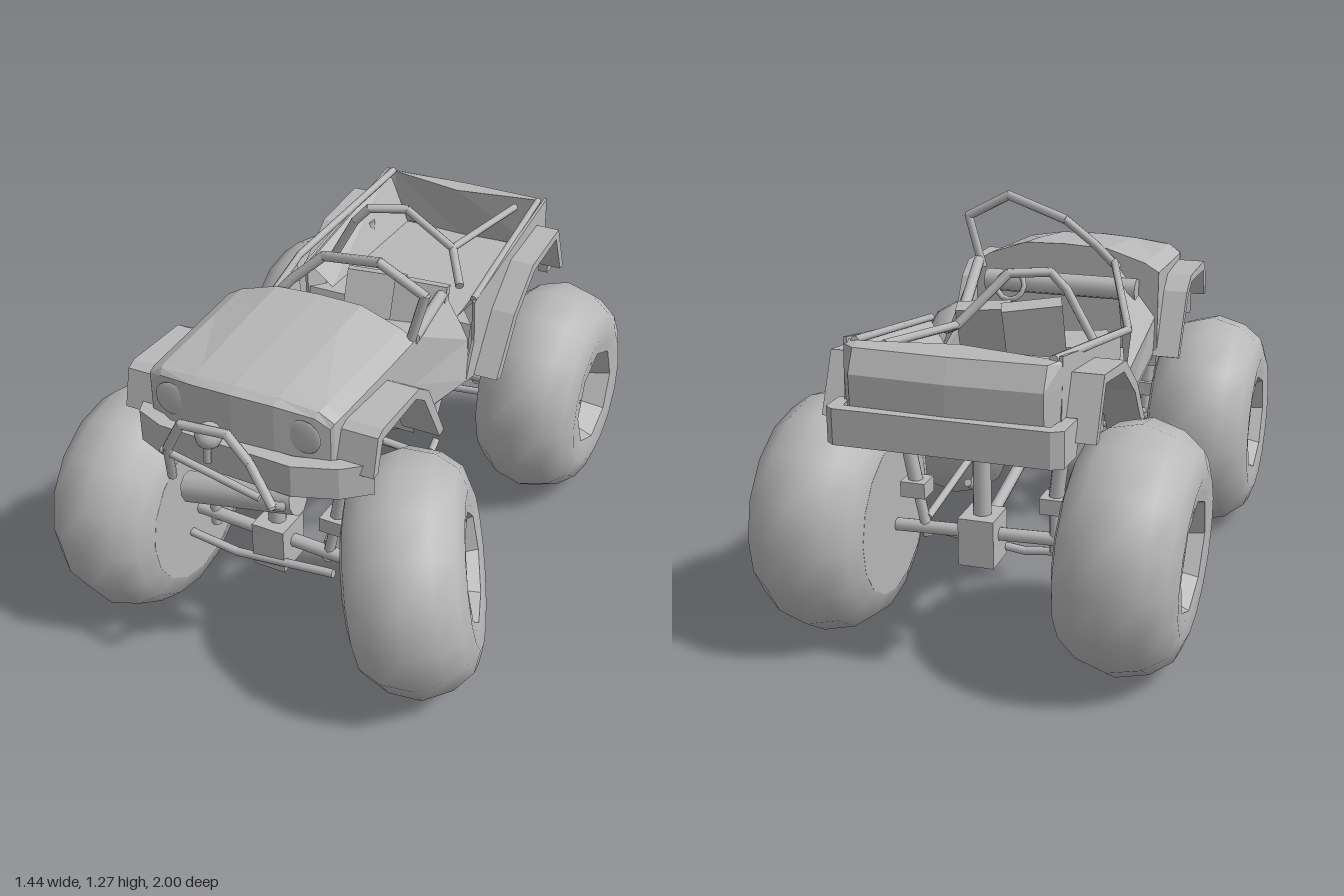
import * as THREE from 'three';

export function createModel() {
  const model = new THREE.Group();
  const grey = new THREE.MeshStandardMaterial({ color: 0xb8b8b8, side: THREE.DoubleSide });
  const V = (p) => new THREE.Vector3(...p);
  const V2 = (p) => new THREE.Vector2(...p);

  function add(name, geo, pos = [0, 0, 0], rot = [0, 0, 0], parent = model) {
    const mesh = new THREE.Mesh(geo, grey);
    mesh.name = name;
    mesh.position.set(...pos);
    mesh.rotation.set(...rot);
    parent.add(mesh);
    return mesh;
  }
  const box = (name, size, pos, rot) => add(name, new THREE.BoxGeometry(...size), pos, rot);

  // Bent bar made of straight pieces
  function rod(name, pts, r, sides = 8) {
    const group = new THREE.Group();
    group.name = name;
    for (let i = 0; i < pts.length - 1; i++) {
      const a = V(pts[i]), d = V(pts[i + 1]).sub(a);
      const geo = new THREE.CylinderGeometry(r, r, d.length() + (pts.length > 2 ? r * 0.6 : 0), sides);
      const m = add(name + 'Piece', geo, a.clone().addScaledVector(d, 0.5).toArray(), [0, 0, 0], group);
      m.quaternion.setFromUnitVectors(new THREE.Vector3(0, 1, 0), d.normalize());
    }
    model.add(group);
  }

  // Faceted skin through rows of equal length
  function skin(name, rows) {
    const pos = [];
    for (let i = 0; i < rows.length - 1; i++) {
      for (let j = 0; j < rows[i].length - 1; j++) {
        const [a, b, c, d] = [rows[i][j], rows[i][j + 1], rows[i + 1][j + 1], rows[i + 1][j]];
        pos.push(...a, ...b, ...c, ...a, ...c, ...d);
      }
    }
    const geo = new THREE.BufferGeometry();
    geo.setAttribute('position', new THREE.Float32BufferAttribute(pos, 3));
    geo.computeVertexNormals();
    add(name, geo);
  }

  // Side outline in (z, y), given thickness from x0 to x1
  function sideShape(name, pts, x0, x1) {
    const geo = new THREE.ExtrudeGeometry(new THREE.Shape(pts.map(V2)), { depth: x1 - x0, bevelEnabled: false });
    geo.rotateY(-Math.PI / 2);
    add(name, geo, [x1, 0, 0]);
  }

  // Plan outline in (x, z), given height from y0 to y1
  function planShape(name, pts, y0, y1) {
    const shape = new THREE.Shape(pts.map(([x, z]) => new THREE.Vector2(x, -z)));
    const geo = new THREE.ExtrudeGeometry(shape, { depth: y1 - y0, bevelEnabled: false });
    geo.rotateX(-Math.PI / 2);
    add(name, geo, [0, y0, 0]);
  }

  // Tyres with a flat inner face and a deep eight-sided hub
  const tyreGeo = new THREE.LatheGeometry([[0.25, -0.185], [0.315, -0.165], [0.365, -0.1], [0.392, 0],
    [0.365, 0.1], [0.315, 0.165], [0.25, 0.188], [0.19, 0.18]].map(V2), 16);
  const innerGeo = new THREE.CylinderGeometry(0.252, 0.252, 0.02, 16);
  const hubGeo = new THREE.LatheGeometry([[0.206, 0.181], [0.178, 0.179], [0.1, -0.01], [0, -0.01]].map(V2), 8).toNonIndexed();
  hubGeo.computeVertexNormals();
  function wheel(name, center, outward) {
    const g = new THREE.Group();
    g.name = name;
    g.position.set(...center);
    g.quaternion.setFromUnitVectors(new THREE.Vector3(0, 1, 0), V(outward).normalize());
    add('tyre', tyreGeo, [0, 0, 0], [0, 0, 0], g);
    add('innerFace', innerGeo, [0, -0.175, 0], [0, 0, 0], g);
    add('hub', hubGeo, [0, 0, 0], [0, 0, 0], g);
    model.add(g);
  }
  wheel('frontRightWheel', [-0.51, 0.395, 0.61], [-1, 0, 0]);
  wheel('rearRightWheel', [-0.515, 0.395, -0.61], [-1, -0.04, 0]);
  wheel('frontLeftWheel', [0.455, 0.395, 0.59], [0.92, 0.16, -0.34]);
  wheel('rearLeftWheel', [0.44, 0.4, -0.61], [1, 0.02, 0]);

  // Hood and grille: arched sections from cowl to nose
  const cx = -0.035;
  const hoodSection = ([z, w, low, side, crown, sweep]) => [[-1, low], [-1, side], [-0.85, side + 0.03],
    [-0.45, crown - 0.008], [0, crown], [0.45, crown - 0.003], [0.85, side + 0.03], [1, side], [1, low]]
    .map(([x, y]) => [cx + x * w, y, z - sweep * x * x]);
  const hood = [[0.29, 0.335, 0.73, 1.02, 1.1, 0], [0.45, 0.33, 0.93, 1.01, 1.085, 0], [0.74, 0.318, 0.94, 0.995, 1.05, 0],
    [0.79, 0.313, 0.82, 0.99, 1.04, 0.02], [0.82, 0.305, 0.82, 0.975, 1.025, 0.04]].map(hoodSection);
  skin('hood', hood);
  skin('grille', [hood[4], hood[4].map(([x, , z]) => [x, 0.82, z])]);
  skin('firewall', [hood[0], hood[0].map(([x]) => [x, 0.68, 0.29])]);
  box('engineBay', [0.5, 0.14, 0.5], [cx, 0.89, 0.54]);
  for (const x of [-0.255, 0.195]) {
    const lamp = add('headlight', new THREE.SphereGeometry(0.055, 14, 8), [x, 0.94, 0.8]);
    lamp.scale.z = 0.12;
  }

  // Tub floor, bed with sloping inner walls, and side panels
  box('cabinFloor', [0.64, 0.03, 0.46], [cx, 0.68, 0.06], [-0.2, 0, 0]);
  skin('bedFloor', [[[-0.34, 0.64, -0.15], [0.285, 0.64, -0.15]], [[-0.34, 0.83, -0.19], [0.285, 0.83, -0.19]],
    [[-0.265, 0.83, -0.28], [0.22, 0.83, -0.28]], [[-0.265, 0.83, -0.84], [0.22, 0.83, -0.84]]]);
  const rearPanel = [[-0.18, 0.925], [-0.84, 1.04], [-0.85, 0.82], [-0.8, 0.82], [-0.73, 0.945],
    [-0.52, 0.92], [-0.36, 0.81], [-0.23, 0.62], [-0.13, 0.64], [-0.19, 0.77]];
  for (const [side, x0, x1, foot] of [['Right', -0.355, -0.345, -0.265], ['Left', 0.29, 0.3, 0.22]]) {
    const x = (x0 + x1) / 2;
    sideShape('rear' + side + 'Panel', rearPanel, x0, x1);
    skin('bed' + side + 'Wall', [[[x, 1.035, -0.84], [x, 0.925, -0.19]],
      [[foot, 0.83, -0.84], [foot, 0.83, -0.22]]]);
  }
  skin('rightDoor', [[[-0.21, 1.05, 0.3], [-0.39, 0.95, -0.18]], [[-0.36, 0.86, 0.3], [-0.375, 0.78, -0.19]],
    [[-0.36, 0.73, 0.28], [-0.355, 0.64, -0.14]]]);
  skin('leftDoor', [[[0.3, 1.04, 0.3], [0.18, 0.95, -0.18]], [[0.3, 0.86, 0.29], [0.28, 0.77, -0.19]],
    [[0.3, 0.73, 0.28], [0.3, 0.64, -0.14]]]);

  // Rounded tail with a lip dented forward
  const tailRow = (y, zs) => [-0.355, -0.32, cx, 0.26, 0.3].map((x, i) => [x, y, zs[i]]);
  const lip = tailRow(1.03, [-0.83, -0.84, -0.78, -0.83, -0.82]);
  skin('tail', [lip, tailRow(1.02, [-0.84, -0.87, -0.88, -0.87, -0.84]),
    tailRow(0.95, [-0.845, -0.905, -0.915, -0.905, -0.845]), tailRow(0.82, [-0.84, -0.9, -0.91, -0.9, -0.84])]);
  skin('tailInside', [lip, tailRow(0.83, [-0.84, -0.85, -0.83, -0.85, -0.84])]);

  // Wheel arch flares
  const frontArch = [[0.77, 0.84], [0.74, 0.96], [0.71, 0.975], [0.47, 0.975], [0.4, 0.93], [0.28, 0.72],
    [0.31, 0.71], [0.43, 0.91], [0.49, 0.95], [0.71, 0.94], [0.74, 0.84]];
  const rearArch = [[-0.2, 0.63], [-0.34, 0.82], [-0.5, 0.94], [-0.75, 0.97], [-0.83, 0.79],
    [-0.8, 0.79], [-0.73, 0.94], [-0.52, 0.91], [-0.37, 0.8], [-0.24, 0.62]];
  sideShape('frontRightFlare', frontArch, -0.45, -0.33);
  sideShape('frontLeftFlare', frontArch, 0.27, 0.4);
  sideShape('rearRightFlare', rearArch, -0.45, -0.33);
  sideShape('rearLeftFlare', rearArch, 0.28, 0.385);

  // Bumpers with swept or wrapped ends
  planShape('frontBumper', [[-0.4, 0.74], [-0.37, 0.81], [-0.27, 0.85], [0.18, 0.86], [0.31, 0.81], [0.39, 0.74],
    [0.34, 0.72], [0.27, 0.78], [0.16, 0.81], [-0.26, 0.81], [-0.33, 0.77], [-0.36, 0.72]], 0.765, 0.87);
  planShape('rearBumper', [[-0.39, -0.81], [-0.385, -0.92], [-0.35, -0.94], [0.3, -0.94], [0.325, -0.92], [0.325, -0.83],
    [0.29, -0.83], [0.28, -0.9], [-0.34, -0.9], [-0.355, -0.81]], 0.745, 0.855);

  // Bull bar, lamp and winch drum
  rod('bullBar', [[-0.24, 0.7, 0.85], [-0.21, 0.84, 0.9], [-0.15, 0.945, 0.91], [0, 0.95, 0.9],
    [0.09, 0.9, 0.93], [0.17, 0.79, 0.95], [0.15, 0.72, 0.86]], 0.015);
  add('spotLamp', new THREE.SphereGeometry(0.042, 12, 8), [-0.09, 0.895, 0.86]);
  rod('lampStalk', [[-0.09, 0.88, 0.87], [-0.1, 0.8, 0.86]], 0.012);
  rod('winchDrum', [[-0.2, 0.65, 0.82], [0.18, 0.73, 0.82]], 0.05, 10);
  rod('towBar', [[-0.24, 0.82, 0.89], [0.1, 0.76, 0.9]], 0.012);

  // Windscreen frame, roll bar and top rails
  rod('windscreenFrame', [[-0.22, 1.03, 0.29], [-0.15, 1.11, 0.26], [-0.05, 1.2, 0.225], [0.18, 1.26, 0.295],
    [0.33, 1.18, 0.29], [0.28, 1.0, 0.29]], 0.016);
  rod('rollBar', [[-0.29, 0.92, -0.27], [-0.2, 1.08, -0.27], [-0.15, 1.135, -0.28], [-0.03, 1.135, -0.335],
    [0.11, 0.98, -0.42], [0.2, 0.92, -0.28]], 0.015);
  rod('rollBarStrut', [[0.11, 0.98, -0.42], [0.2, 1.01, -0.78]], 0.013);
  rod('rightRail', [[-0.33, 1.03, -0.84], [-0.38, 0.945, -0.19], [-0.21, 1.05, 0.29]], 0.013);
  rod('leftRail', [[0.27, 1.03, -0.83], [0.29, 0.93, -0.19]], 0.012);
  rod('leftDoorTop', [[0.185, 0.94, -0.18], [0.29, 1.02, 0.28]], 0.02);

  // Seats, dashboard and steering wheel
  box('rightSeat', [0.2, 0.1, 0.21], [-0.16, 0.78, 0.05], [0, 0.35, 0]);
  box('leftSeat', [0.2, 0.1, 0.21], [0.09, 0.8, 0.03], [0, 0.25, 0]);
  box('rightSeatBack', [0.2, 0.22, 0.06], [-0.04, 0.88, -0.1], [-0.3, 0.35, 0]);
  box('leftSeatBack', [0.18, 0.22, 0.06], [0.12, 0.87, -0.12], [-0.3, 0.2, 0]);
  rod('dashboard', [[-0.3, 0.96, 0.26], [0.25, 0.96, 0.26]], 0.04);
  add('steeringWheel', new THREE.TorusGeometry(0.05, 0.01, 6, 12), [0.14, 0.96, 0.19], [0.4, 0, 0]);

  // Gearbox, sump and driveline
  rod('gearbox', [[-0.18, 0.56, 0.1], [0.1, 0.56, 0.1]], 0.075, 12);
  box('sump', [0.16, 0.18, 0.12], [-0.04, 0.48, 0.14]);
  box('engineBlock', [0.22, 0.16, 0.24], [-0.04, 0.65, 0.15]);
  add('transferCase', new THREE.SphereGeometry(0.05, 10, 8), [0.1, 0.53, 0.02]);
  rod('exhaust', [[0.1, 0.62, 0.28], [0.14, 0.55, 0.2], [0.18, 0.34, -0.06], [0.18, 0.315, -0.12], [0.18, 0.34, -0.16]], 0.014);
  rod('frontDriveshaft', [[-0.03, 0.53, 0.1], [-0.03, 0.38, 0.58]], 0.02);
  rod('rearDriveshaft', [[-0.03, 0.53, 0.1], [-0.03, 0.38, -0.58]], 0.02);
  rod('hangerHoop', [[0.2, 0.66, -0.12], [0.2, 0.54, -0.13], [0.2, 0.46, -0.08], [0.2, 0.5, -0.04]], 0.012);

  // Axles, dampers and links at both ends
  for (const [end, s, top] of [['front', 1, 0.95], ['rear', -1, 0.92]]) {
    const z = s * 0.6;
    rod(end + 'Axle', [[-0.38, 0.385, z], [0.32, 0.36, z]], 0.022);
    box(end + 'Differential', [0.115, 0.155, 0.13], [-0.03, 0.36, z]);
    rod(end + 'Post', [[-0.03, 0.42, z], [-0.03, 0.65, z]], 0.03);
    rod(end + 'TieRod', [[-0.32, 0.32, z + 0.06], [-0.15, 0.3, z + 0.06], [0.2, 0.34, z + 0.06]], 0.014);
    for (const [foot, mid, head] of [[-0.265, -0.265, -0.315], [0.15, 0.185, 0.265]]) {
      rod(end + 'Damper', [[mid, 0.5, z], [head, top, z]], 0.024);
      rod(end + 'DamperRod', [[foot, 0.34, z], [mid, 0.5, z]], 0.018);
      box(end + 'DamperMount', [0.08, 0.05, 0.08], [mid, 0.5, z]);
      rod(end + 'TrailingLink', [[foot, 0.4, z], [mid * 0.5, 0.56, s * 0.1]], 0.013);
    }
  }
  return model;
}
